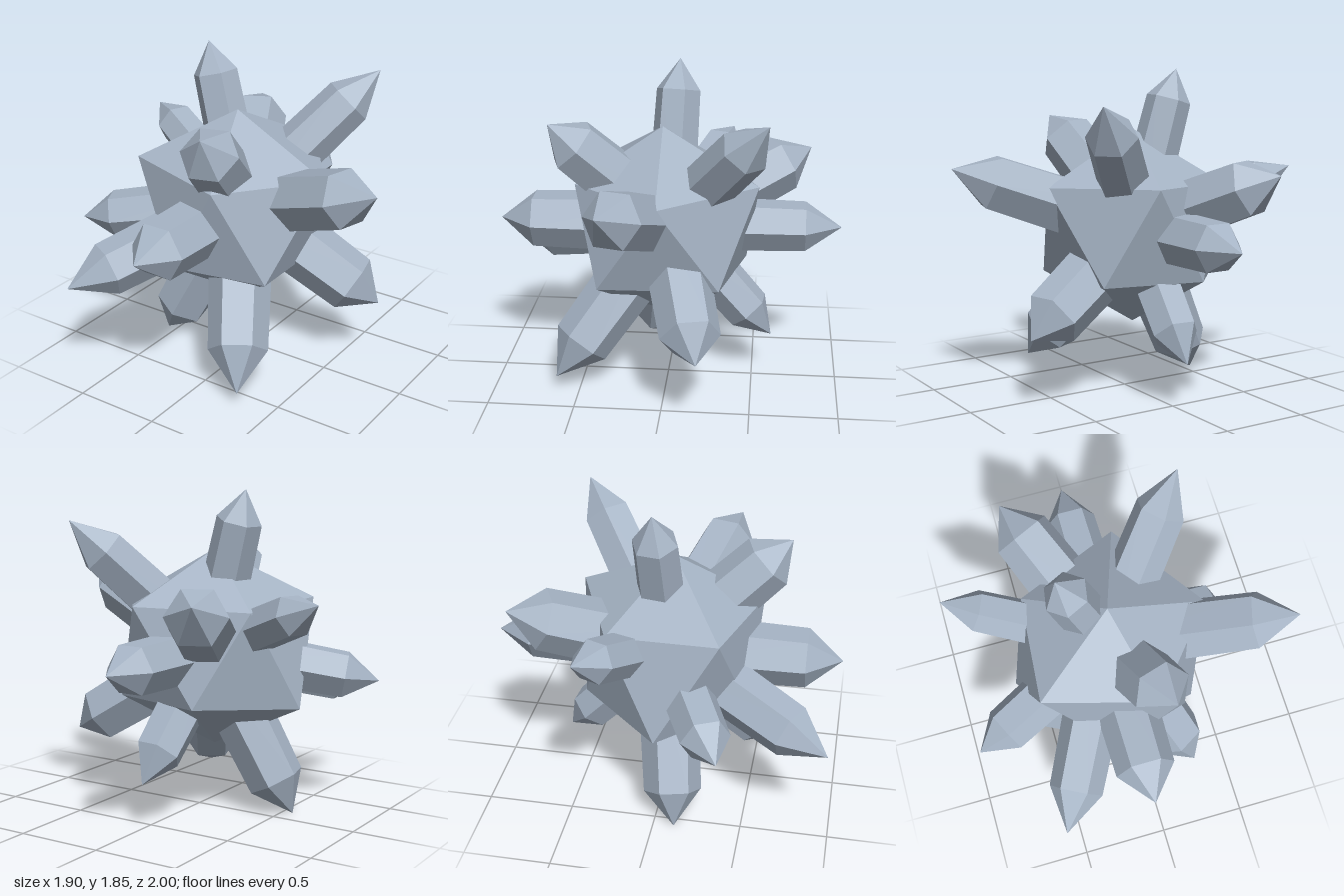
import * as THREE from 'three';
import { ConvexGeometry } from 'three/addons/geometries/ConvexGeometry.js';

const CENTER = new THREE.Vector3(-0.08, 0.93, 0);

// Slightly irregular icosahedron: top, upper ring, lower ring, bottom
const CORE = [
  [-0.08, 1.51, 0.04],
  [0.08, 1.2, 0.53], [-0.55, 1.23, 0.36], [-0.5, 1.2, -0.27], [0.1, 1.22, -0.52], [0.49, 1.2, 0.03],
  [0.33, 0.66, 0.38], [-0.23, 0.66, 0.49], [-0.65, 0.64, 0.02], [-0.24, 0.67, -0.45], [0.33, 0.67, -0.31],
  [-0.08, 0.37, 0.04],
];

// Crystal tips: x, y, z, shoulder radius, shoulder position along the length
const CRYSTALS = [
  [-0.33, 1.85, -0.04, 0.13, 0.81],
  [0.49, 1.68, -0.57, 0.145, 0.77],
  [0.95, 1.31, 0.29, 0.168, 0.79],
  [-0.94, 1.28, -0.34, 0.123, 0.79],
  [-0.95, 0.77, 0.41, 0.14, 0.8],
  [-0.56, 0.0, 0.12, 0.165, 0.8],
  [0.31, 0.09, 0.63, 0.17, 0.78],
  [0.73, 0.41, -0.21, 0.172, 0.81],
  [-0.08, 0.93, 1.0, 0.168, 0.8],
  [-0.08, 0.93, -1.0, 0.147, 0.79],
  [-0.48, 1.29, -0.82, 0.173, 0.79],
  [-0.59, 0.63, 0.97, 0.155, 0.78],
  [0.12, 1.56, 0.67, 0.165, 0.8],
  [-0.02, 0.26, -0.61, 0.135, 0.78],
];

// Six-sided tapered prism with a pointed end, growing from the centre to its tip
function crystalGeometry(x, y, z, radius, shoulder) {
  const axis = new THREE.Vector3(x, y, z).sub(CENTER);
  const length = axis.length();
  axis.normalize();
  const profile = [[0, 0], [radius * 1.12, 0], [radius, length * shoulder], [0, length]]
    .map(([r, h]) => new THREE.Vector2(r, h));
  // One pair of prism edges lies level, to either side of the axis
  const side = new THREE.Vector3(-axis.z, 0, axis.x).normalize();
  const across = new THREE.Vector3().crossVectors(axis, side);
  const geometry = new THREE.LatheGeometry(profile, 6).toNonIndexed();
  geometry.applyMatrix4(new THREE.Matrix4().makeBasis(across, axis, side).setPosition(CENTER));
  geometry.computeVertexNormals();
  return geometry;
}

export function createModel() {
  const group = new THREE.Group();
  group.name = 'crystalCluster';
  const material = new THREE.MeshStandardMaterial({ color: 0xa6b4c5, flatShading: true });
  material.name = 'paleBlueGrey';

  const core = new THREE.Mesh(
    new ConvexGeometry(CORE.map((p) => new THREE.Vector3(...p))), material);
  core.name = 'core';
  group.add(core);

  CRYSTALS.forEach((spec, i) => {
    const crystal = new THREE.Mesh(crystalGeometry(...spec), material);
    crystal.name = `crystal${i + 1}`;
    group.add(crystal);
  });
  return group;
}
